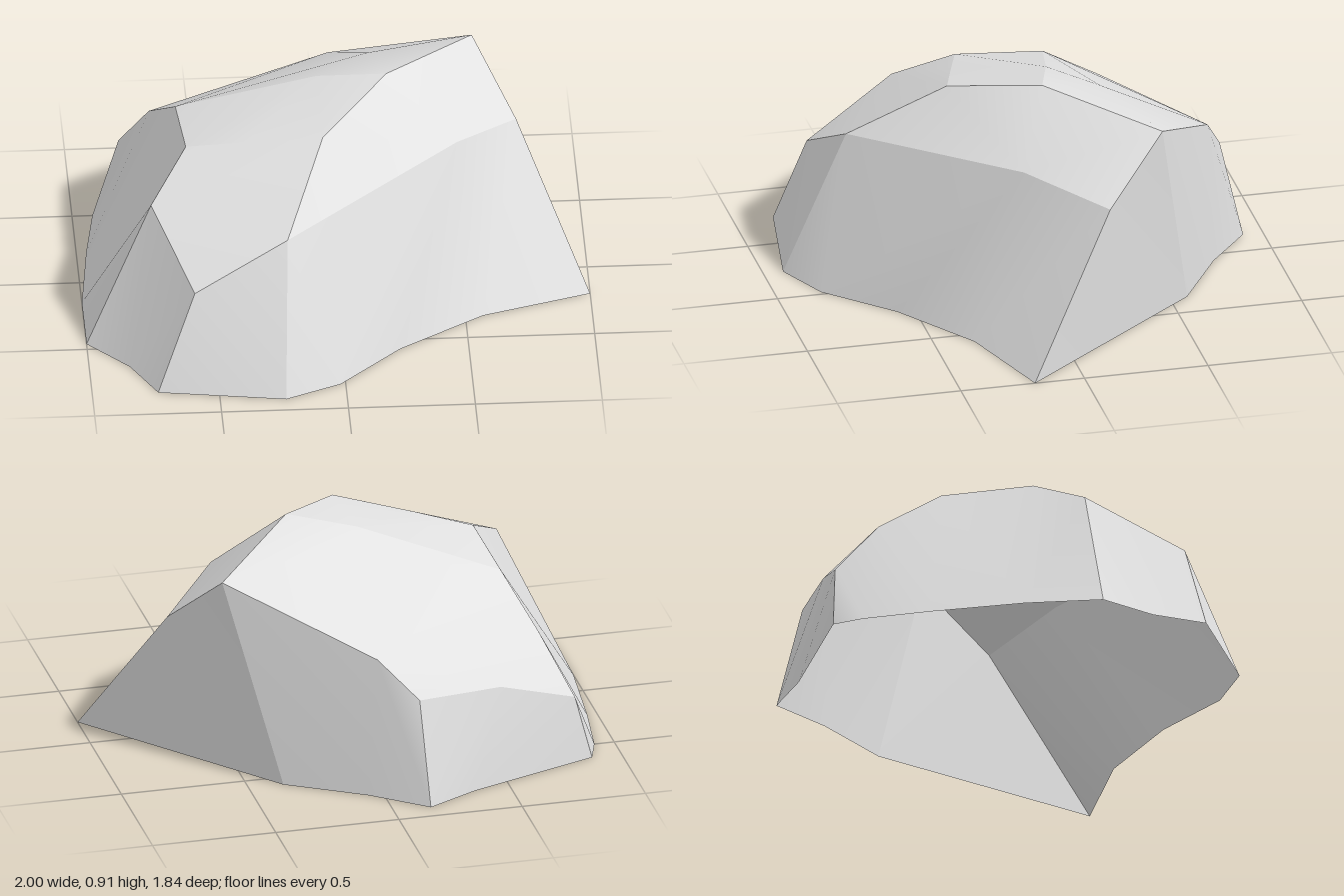
import * as THREE from 'three';

const v = (x, y, z) => new THREE.Vector3(x, y, z);
const core = v(-0.1, 0.25, 0);

// Joins two edge lines with triangles and returns their corner indices.
function stitch(points, a, b) {
  const index = [];
  const add = (...tri) => {
    const [p, q, r] = tri.map((i) => points[i]);
    const normal = q.clone().sub(p).cross(r.clone().sub(p));
    const outward = p.clone().add(q).add(r).divideScalar(3).sub(core);
    if (normal.dot(outward) < 0) tri.reverse();
    index.push(...tri);
  };
  const ids = (line) => line.map((p) => points.indexOf(p));
  const ia = ids(a), ib = ids(b);
  let i = 0, j = 0;
  const m = a.length - 1, n = b.length - 1;
  while (i < m || j < n) {
    if (j >= n || (i < m && (i + 1) / m <= (j + 1) / n)) {
      add(ia[i], ia[i + 1], ib[j]);
      i++;
    } else {
      add(ia[i], ib[j], ib[j + 1]);
      j++;
    }
  }
  return index;
}

// One stone facet from strips of edge lines: smooth inside, hard at its border.
function facet(strips) {
  const points = [...new Set(strips.flat(2))];
  const geometry = new THREE.BufferGeometry().setFromPoints(points);
  geometry.setIndex(strips.flatMap(([a, b]) => stitch(points, a, b)));
  geometry.computeVertexNormals();
  return geometry;
}

export function createModel() {
  const stone = new THREE.MeshStandardMaterial({ color: 0xe2e2e2, side: THREE.DoubleSide });
  stone.name = 'pale grey stone';

  // Corners on the crown
  const peak = v(0.21, 0.91, -0.02);
  const rightPeak = v(0.57, 0.83, -0.42);
  const crownFront = v(-0.06, 0.82, 0.3);
  const crownMid = v(-0.36, 0.755, 0.21);
  const crownBack = v(-0.06, 0.86, -0.1);
  const shelf = v(0.15, 0.855, -0.27);

  // Left rim, front to back
  const rim = [
    v(-0.74, 0.57, 0.36), v(-0.59, 0.7, 0.14), v(-0.61, 0.665, -0.22),
    v(-0.7, 0.5, -0.46), v(-0.81, 0.27, -0.62),
  ];

  // Front break line, left to right
  const notch = v(-0.59, 0.39, 0.74);
  const brow = [v(-0.22, 0.58, 0.67), v(0.48, 0.67, 0.12), v(0.73, 0.59, -0.17)];

  // Back break line, left to right
  const back = [v(-0.49, 0.385, -0.7), v(-0.13, 0.42, -0.82), v(0.02, 0.575, -0.735)];

  // Ground outline: around the left, then the front, then the back
  const leftGround = [
    v(-1, 0, 0.46), v(-1, 0, 0.15), v(-0.96, 0, -0.23), v(-0.92, 0, -0.5), v(-0.88, 0, -0.62),
  ];
  const notchGround = [leftGround[0], v(-0.84, 0, 0.64), v(-0.74, 0, 0.84)];
  const frontGround = [
    v(-0.24, 0, 0.92), v(-0.02, 0, 0.82), v(0.23, 0, 0.57), v(0.57, 0, 0.34), v(1, 0, 0.2),
  ];
  const backGround = [leftGround[4], v(-0.36, 0, -0.81), v(-0.15, 0, -0.92)];
  const backRightGround = [backGround[2], v(0.06, 0, -0.75), v(0.36, 0, -0.57)];

  // A strip with a single point on one side is a fan around that point
  const facets = {
    frontFace: [[brow, frontGround]],
    frontShoulder: [[[brow[1]], [brow[0], crownFront, peak, rightPeak, brow[2]]]],
    frontFoot: [[[notchGround[2], frontGround[0]], [notch, brow[0]]]],
    cornerNotch: [[[rim[0], notch], notchGround]],
    leftFace: [
      [[rim[0]], [leftGround[0], leftGround[1], rim[1]]],
      [rim.slice(1), leftGround.slice(1)],
    ],
    frontSlope: [[[rim[0]], [notch, brow[0], crownFront, crownMid, rim[1]]]],
    crown: [[[crownBack], [rim[2], rim[1], crownMid, crownFront, peak]]],
    backSlope: [
      [[shelf], [rim[2], crownBack, peak, rightPeak]],
      [[back[2]], [rightPeak, shelf, rim[2], rim[3], back[0], back[1]]],
      [[rim[3]], [rim[4], back[0]]],
    ],
    backFoot: [[backGround, [rim[4], back[0], back[1]]]],
    backRightFace: [[[back[1], back[2], rightPeak], backRightGround]],
    rightFace: [[[backRightGround[2]], [rightPeak, brow[2], frontGround[4]]]],
  };

  const rock = new THREE.Group();
  rock.name = 'rock';
  for (const [name, strips] of Object.entries(facets)) {
    const mesh = new THREE.Mesh(facet(strips), stone);
    mesh.name = name;
    rock.add(mesh);
  }
  return rock;
}
